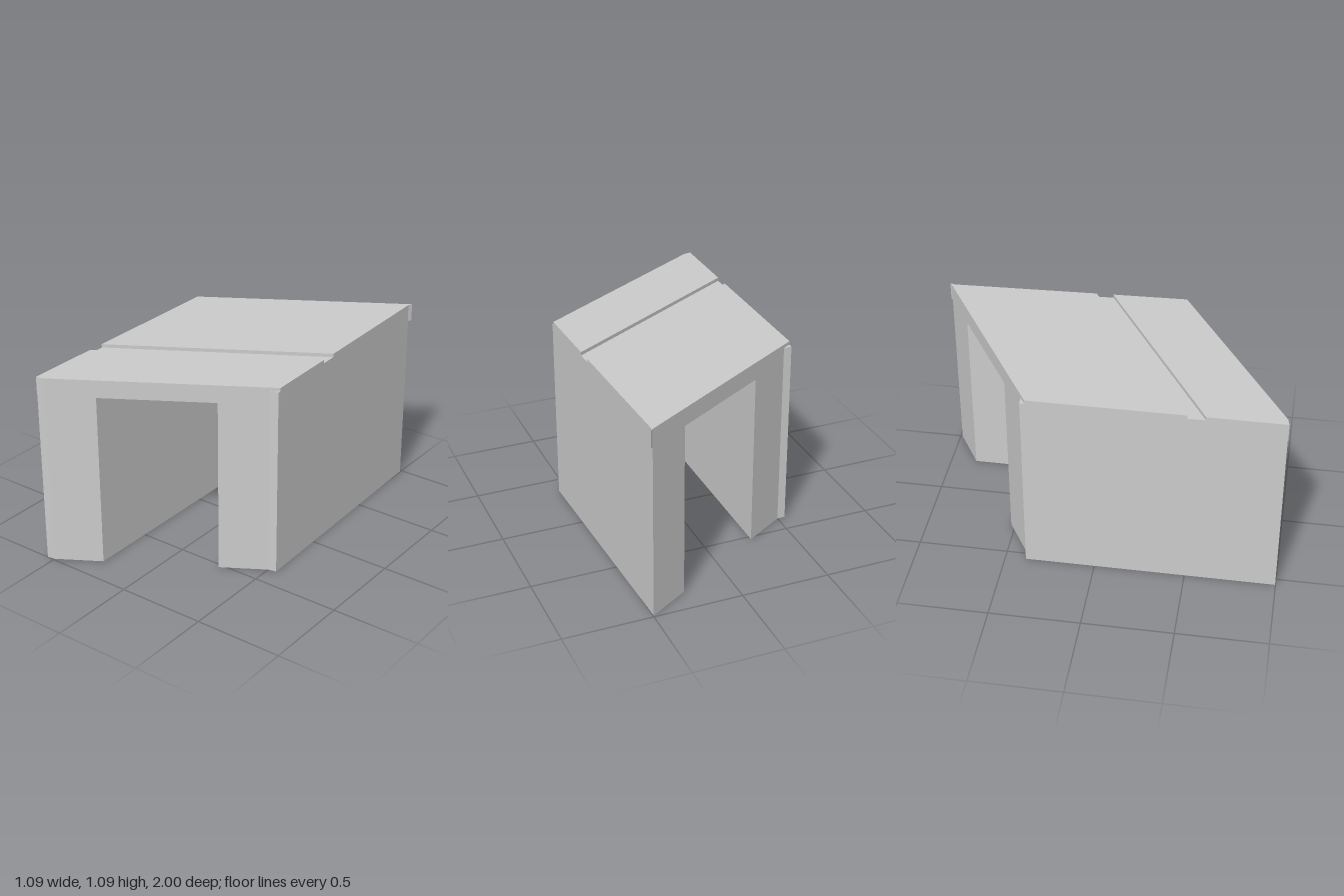
import * as THREE from 'three';

const material = new THREE.MeshStandardMaterial({ color: 0xcccccc, flatShading: true });

// Upright prism from a plan outline of [x, z] corners
function prism(name, plan, bottom, top) {
  const shape = new THREE.Shape(plan.map(([x, z]) => new THREE.Vector2(x, -z)));
  const geometry = new THREE.ExtrudeGeometry(shape, { depth: top - bottom, bevelEnabled: false });
  geometry.rotateX(-Math.PI / 2).translate(0, bottom, 0);
  const mesh = new THREE.Mesh(geometry, material);
  mesh.name = name;
  return mesh;
}

export function createModel() {
  const group = new THREE.Group();
  group.name = 'skewedUnderpass';
  const SOFFIT = 0.99, GROOVE = 1.07, TOP = 1.09;

  // Skewed end faces
  const front = x => 0.688 - 0.605 * x;
  const back = x => -0.688 - 0.605 * x;

  // Side walls, with the outer corners trimmed; the right one tapers to the back
  group.add(prism('leftWall', [
    [0.545, 0.375], [0.5, front(0.5)], [0.27, front(0.27)],
    [0.27, back(0.27)], [0.497, back(0.497)],
  ], 0, SOFFIT));
  group.add(prism('rightWall', [
    [-0.545, 0.998], [-0.5, front(-0.5)], [-0.27, front(-0.27)],
    [-0.27, back(-0.27)], [-0.5, back(-0.5)], [-0.545, -0.385],
  ], 0, SOFFIT));

  // Small corner pieces that run up beside the deck
  group.add(prism('frontCorner', [[0.5, front(0.5)], [0.545, 0.375], [0.545, 0.358]], SOFFIT, GROOVE));
  group.add(prism('backCorner', [[-0.5, back(-0.5)], [-0.545, -0.385], [-0.545, -0.358]], SOFFIT, GROOVE));

  // Deck outline, divided by a groove parallel to the end faces
  const frontEdge = [[0.545, front(0.545)], [-0.5, front(-0.5)], [-0.545, 1]];
  const backEdge = [[-0.545, back(-0.545)], [0.497, back(0.497)], [0.51, -1], [0.501, -0.975]];
  group.add(prism('deck', [...frontEdge, ...backEdge], SOFFIT, GROOVE));
  group.add(prism('frontSurface', [...frontEdge, [-0.545, 0.58], [0.532, -0.06]], GROOVE, TOP));
  group.add(prism('backSurface', [...backEdge, [0.529, -0.155], [-0.545, 0.485]], GROOVE, TOP));

  return group;
}
